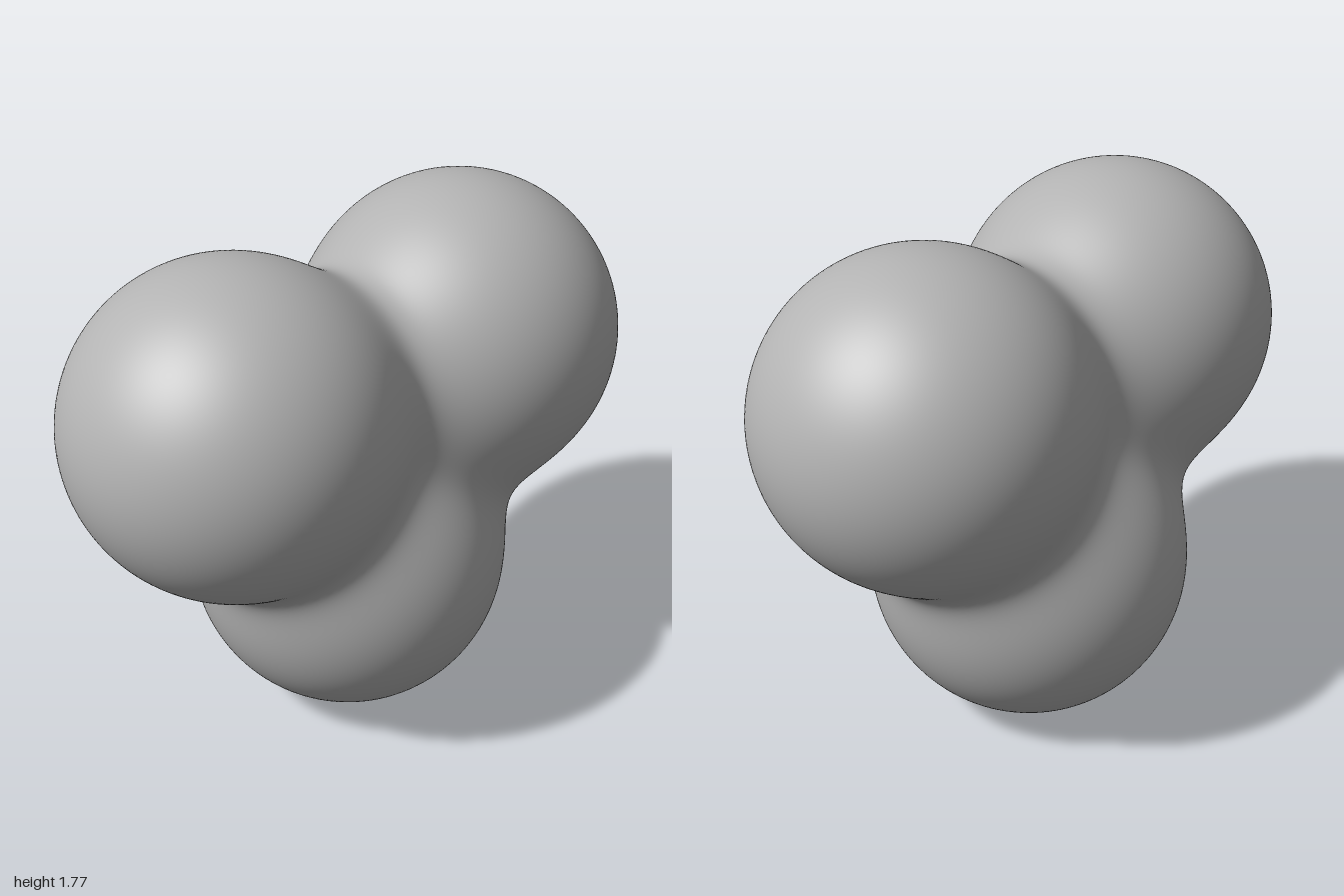
import * as THREE from 'three';
import { mergeVertices } from 'three/addons/utils/BufferGeometryUtils.js';

const RADIUS = 0.53;
const BLEND = 0.088;
const CORE = new THREE.Vector3(0, 1.03, 0); // point shared by all three balls

const balls = [
  new THREE.Vector3(0.033, 1.237, 0.47), // upper front
  new THREE.Vector3(-0.027, 1.242, -0.47), // upper back
  new THREE.Vector3(-0.037, 0.533, -0.02), // bottom
];

// Smoothly blended distance to the three balls, negative inside
function distance(p) {
  let sum = 0;
  for (const c of balls) sum += Math.exp((RADIUS - p.distanceTo(c)) / BLEND);
  return -BLEND * Math.log(sum);
}

// Push each vertex of a fine ball outward from the core to the blended surface
function fusedGeometry() {
  let geometry = new THREE.IcosahedronGeometry(1, 44);
  geometry.deleteAttribute('uv');
  geometry.deleteAttribute('normal');
  geometry = mergeVertices(geometry, 1e-5);
  const position = geometry.attributes.position;
  const dir = new THREE.Vector3();
  const p = new THREE.Vector3();
  for (let i = 0; i < position.count; i++) {
    dir.fromBufferAttribute(position, i).normalize();
    let near = 0;
    let far = 1.6;
    for (let step = 0; step < 26; step++) {
      const mid = (near + far) / 2;
      p.copy(CORE).addScaledVector(dir, mid);
      if (distance(p) < 0) near = mid;
      else far = mid;
    }
    position.setXYZ(i, p.x, p.y, p.z);
  }
  geometry.computeVertexNormals();
  return geometry;
}

export function createModel() {
  const group = new THREE.Group();
  group.name = 'ballCluster';
  const grey = new THREE.MeshStandardMaterial({ color: 0xb3b3b3 });
  grey.name = 'grey';
  const mesh = new THREE.Mesh(fusedGeometry(), grey);
  mesh.name = 'fusedBalls';
  group.add(mesh);
  return group;
}
